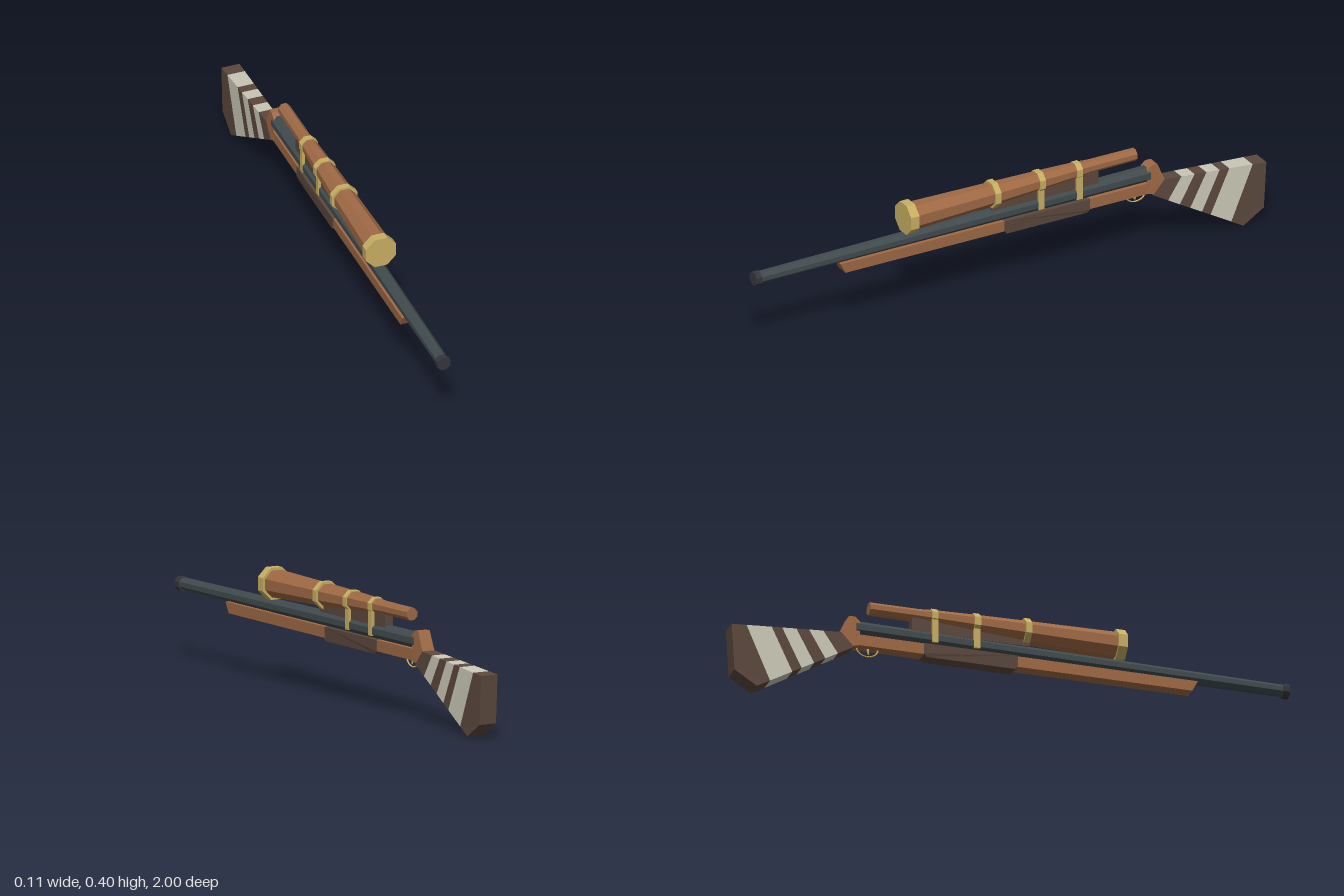
import * as THREE from 'three';

const paint = (name, color) => Object.assign(new THREE.MeshStandardMaterial({ color, flatShading: true }), { name });

export function createModel() {
  const wood = paint('wood', 0xa06a45);
  const dark = paint('dark wood', 0x5c493e);
  const cream = paint('cream', 0xcbcab8);
  const steel = paint('steel', 0x414b4e);
  const black = paint('black steel', 0x35353d);
  const brass = paint('brass', 0xc8af63);
  const model = new THREE.Group();
  model.name = 'rifle';

  const add = (name, geometry, material) => {
    const mesh = new THREE.Mesh(geometry, material);
    mesh.name = name;
    model.add(mesh);
    return mesh;
  };

  // Octagonal tube along z; each end is [z, centre height, half width]
  const tube = (name, material, [z0, y0, r0], [z1, y1, r1]) => {
    const k = 1 / Math.cos(Math.PI / 8);
    const g = new THREE.CylinderGeometry(r0 * k, r1 * k, z0 - z1, 8);
    g.rotateY(Math.PI / 8).rotateX(Math.PI / 2).translate(0, 0, (z0 + z1) / 2);
    const p = g.attributes.position;
    for (let i = 0; i < p.count; i++) {
      const t = (p.getZ(i) - z1) / (z0 - z1);
      p.setY(i, p.getY(i) + y1 + (y0 - y1) * t);
    }
    g.computeVertexNormals();
    return add(name, g, material);
  };

  // Convex side profile of [z, y, half width] points, mirrored across x
  const prism = (name, material, points) => {
    const n = points.length;
    let area = 0;
    points.forEach(([z, y], i) => {
      const [z2, y2] = points[(i + 1) % n];
      area += z2 * y - z * y2;
    });
    const pts = area < 0 ? [...points].reverse() : points;
    const v = [];
    const put = (i, side) => v.push(side * pts[i % n][2], pts[i % n][1], pts[i % n][0]);
    for (let i = 1; i < n - 1; i++) {
      put(0, 1); put(i, 1); put(i + 1, 1);
      put(0, -1); put(i + 1, -1); put(i, -1);
    }
    for (let i = 0; i < n; i++) {
      put(i, 1); put(i, -1); put(i + 1, -1);
      put(i, 1); put(i + 1, -1); put(i + 1, 1);
    }
    const g = new THREE.BufferGeometry();
    g.setAttribute('position', new THREE.Float32BufferAttribute(v, 3));
    g.computeVertexNormals();
    return add(name, g, material);
  };

  // Barrel and muzzle
  tube('barrel', steel, [0.98, 0.266, 0.02], [-0.55, 0.278, 0.0265]);
  tube('muzzle', black, [1, 0.265, 0.024], [0.978, 0.265, 0.024]);

  // Fore-end, magazine and rear frame
  prism('foreEnd', wood, [[0.67, 0.248, 0.024], [0.65, 0.21, 0.023], [-0.55, 0.21, 0.023], [-0.55, 0.25, 0.024]]);
  prism('magazine', dark, [[0.025, 0.25, 0.027], [0.025, 0.21, 0.027], [0.015, 0.2, 0.024],
    [-0.3, 0.2, 0.024], [-0.31, 0.21, 0.027], [-0.31, 0.25, 0.027]]);
  prism('rearFrame', wood, [[-0.538, 0.3, 0.023], [-0.555, 0.315, 0.023], [-0.577, 0.315, 0.023],
    [-0.607, 0.247, 0.024], [-0.565, 0.203, 0.024], [-0.538, 0.21, 0.024]]);

  // Striped butt stock, widening to the rear
  const cuts = [0, 0.165, 0.295, 0.41, 0.54, 0.635, 0.865, 1];
  const top = (t) => [-0.605 - 0.395 * t, 0.25 - 0.03 * t, 0.024 + 0.009 * t];
  const bottom = (t) => [-0.56 - 0.35 * t, 0.2 - 0.2 * t, 0.024 + 0.009 * t];
  for (let i = 0; i < 7; i++) {
    const [a, b] = [cuts[i], cuts[i + 1]];
    const heel = i === 6 ? [[-0.99, 0.05, 0.033]] : [];
    prism('stockStripe' + (i + 1), i % 2 ? cream : dark, [top(a), top(b), ...heel, bottom(b), bottom(a)]);
  }

  // Scope body
  const body = [[0.385, 0.348, 0.046], [0.06, 0.353, 0.038], [-0.12, 0.357, 0.032], [-0.27, 0.36, 0.026], [-0.32, 0.361, 0.022], [-0.5, 0.362, 0.021]];
  for (let i = 0; i < body.length - 1; i++) tube('scopeBody' + (i + 1), wood, body[i], body[i + 1]);
  tube('scopeCap', brass, [0.41, 0.348, 0.055], [0.377, 0.348, 0.055]);

  // Brass rings, the rear two strapped down to the barrel
  for (const [z, y, r, strapped] of [[0.06, 0.353, 0.046, false], [-0.12, 0.356, 0.037, true], [-0.27, 0.359, 0.03, true]]) {
    tube('scopeRing', brass, [z + 0.011, y, r], [z - 0.011, y, r]);
    if (strapped) {
      add('scopeStrap', new THREE.BoxGeometry(0.054, 0.09, 0.022), brass).position.set(0, 0.304, z);
    }
  }

  // Scope mount
  prism('scopeMount', dark, [[0.07, 0.295, 0.016], [0.07, 0.335, 0.016], [-0.35, 0.345, 0.016], [-0.35, 0.295, 0.016]]);

  // Trigger guard and trigger
  const guard = new THREE.TorusGeometry(0.038, 0.003, 6, 12, Math.PI);
  guard.rotateZ(Math.PI).rotateY(Math.PI / 2).scale(1, 0.75, 1);
  add('triggerGuard', guard, brass).position.set(0, 0.21, -0.505);
  prism('trigger', brass, [[-0.5, 0.212, 0.002], [-0.508, 0.212, 0.002], [-0.503, 0.19, 0.002], [-0.498, 0.19, 0.002]]);

  return model;
}
